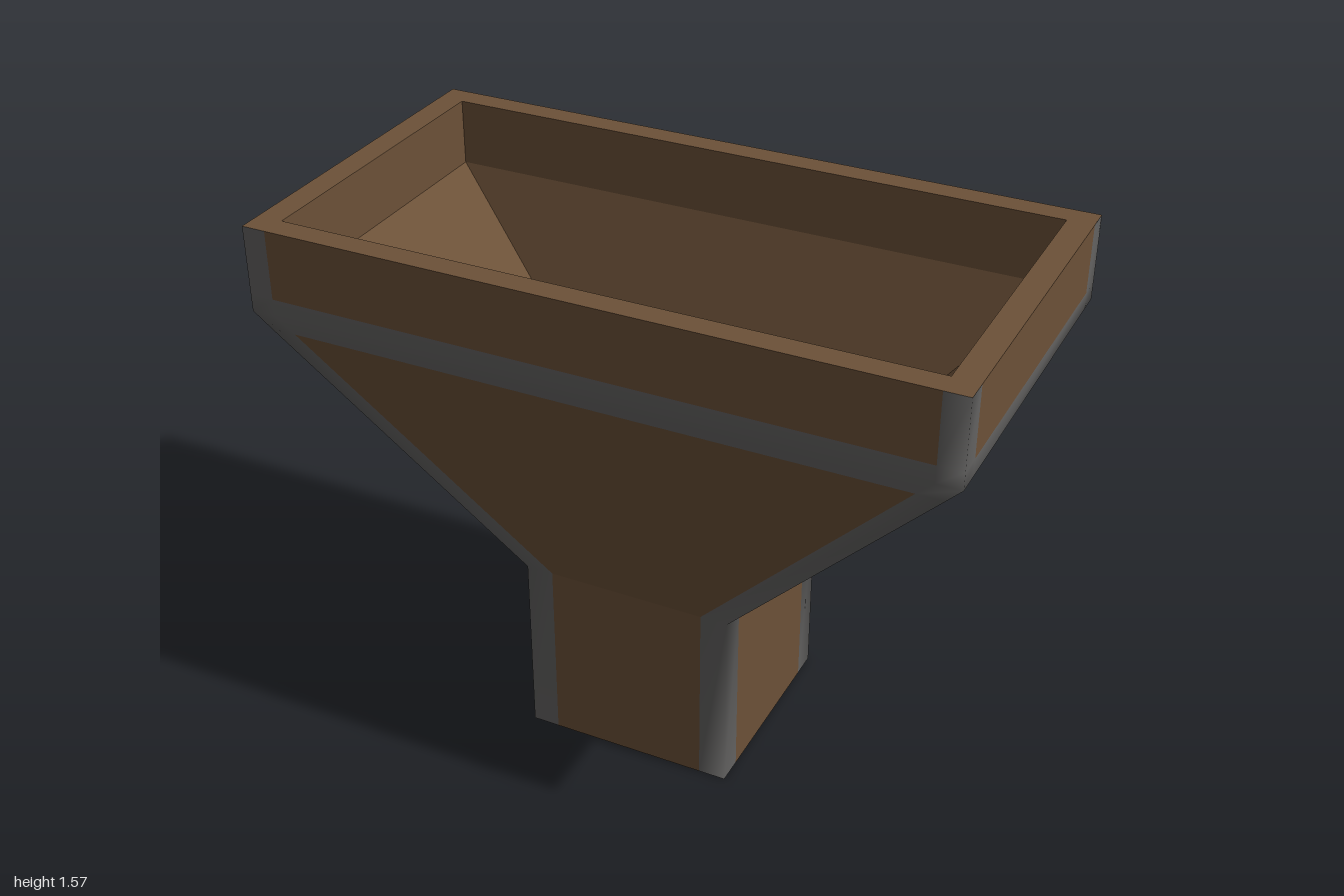
import * as THREE from 'three';

const wood = new THREE.MeshStandardMaterial({ color: 0x6c5138 });
wood.name = 'brown wood';
const metal = new THREE.MeshStandardMaterial({ color: 0x646362 });
metal.name = 'grey metal';
const dark = new THREE.MeshStandardMaterial({ color: 0x0b0b0b });
dark.name = 'black';

// One rectangular ring of 12 points: each side has a corner and two points inset from its ends.
function ring([x, y, z, insetX = 0.075, insetZ = 0.075]) {
  const ix = x - insetX, iz = z - insetZ;
  return [
    [x, y, z], [x, y, iz], [x, y, -iz],
    [x, y, -z], [ix, y, -z], [-ix, y, -z],
    [-x, y, -z], [-x, y, -iz], [-x, y, iz],
    [-x, y, z], [-ix, y, z], [ix, y, z],
  ];
}

// Skin between successive rings, keeping only the cells accepted by keep(row, column).
function loft(rows, keep, smooth) {
  const index = [];
  for (let r = 0; r < rows.length - 1; r++) {
    for (let c = 0; c < 12; c++) {
      if (!keep(r, c)) continue;
      const a = r * 12 + c, b = r * 12 + (c + 1) % 12;
      index.push(a, b, b + 12, a, b + 12, a + 12);
    }
  }
  const g = new THREE.BufferGeometry();
  g.setAttribute('position', new THREE.Float32BufferAttribute(rows.flatMap(ring).flat(), 3));
  g.setIndex(index);
  if (smooth) g.computeVertexNormals();
  const out = g.toNonIndexed();
  if (!smooth) out.computeVertexNormals();
  return out;
}

export function createModel() {
  const model = new THREE.Group();
  model.name = 'hopper';
  const add = (name, geometry, material) => {
    const mesh = new THREE.Mesh(geometry, material);
    mesh.name = name;
    model.add(mesh);
    return mesh;
  };

  // Outer profile: half width, height, half depth, strip widths
  const outer = [
    [0.312, 0, 0.312, 0.08, 0.08],
    [0.312, 0.557, 0.312, 0.08, 0.08],
    [0.955, 1.27, 0.513, 0.075, 0.066],
    [1, 1.32, 0.526, 0.07, 0.068],
    [1, 1.37, 0.526, 0.07, 0.068],
    [1, 1.57, 0.526, 0.07, 0.068],
  ];
  const isPanel = (r, c) => c % 3 === 1 && r !== 2 && r !== 3;

  // Flat panels of spout, funnel and bin, framed by corner strips and a waist band
  add('outerPanels', loft(outer, isPanel, false), wood);
  add('cornerStripsAndBand', loft(outer, (r, c) => !isPanel(r, c), true), metal);

  // Top rim, inside walls and underside of the spout
  const inner = [
    [1, 1.57, 0.526],
    [0.925, 1.57, 0.455],
    [0.925, 1.375, 0.455],
    [0.235, 0.59, 0.235],
    [0.235, 0, 0.235],
    [0.312, 0, 0.312],
  ];
  add('rimAndLining', loft(inner, () => true, false), wood);

  // Dark plate closing the throat of the funnel
  const plate = add('throatPlate', new THREE.BoxGeometry(0.75, 0.008, 0.555), dark);
  plate.position.y = 0.745;

  return model;
}
